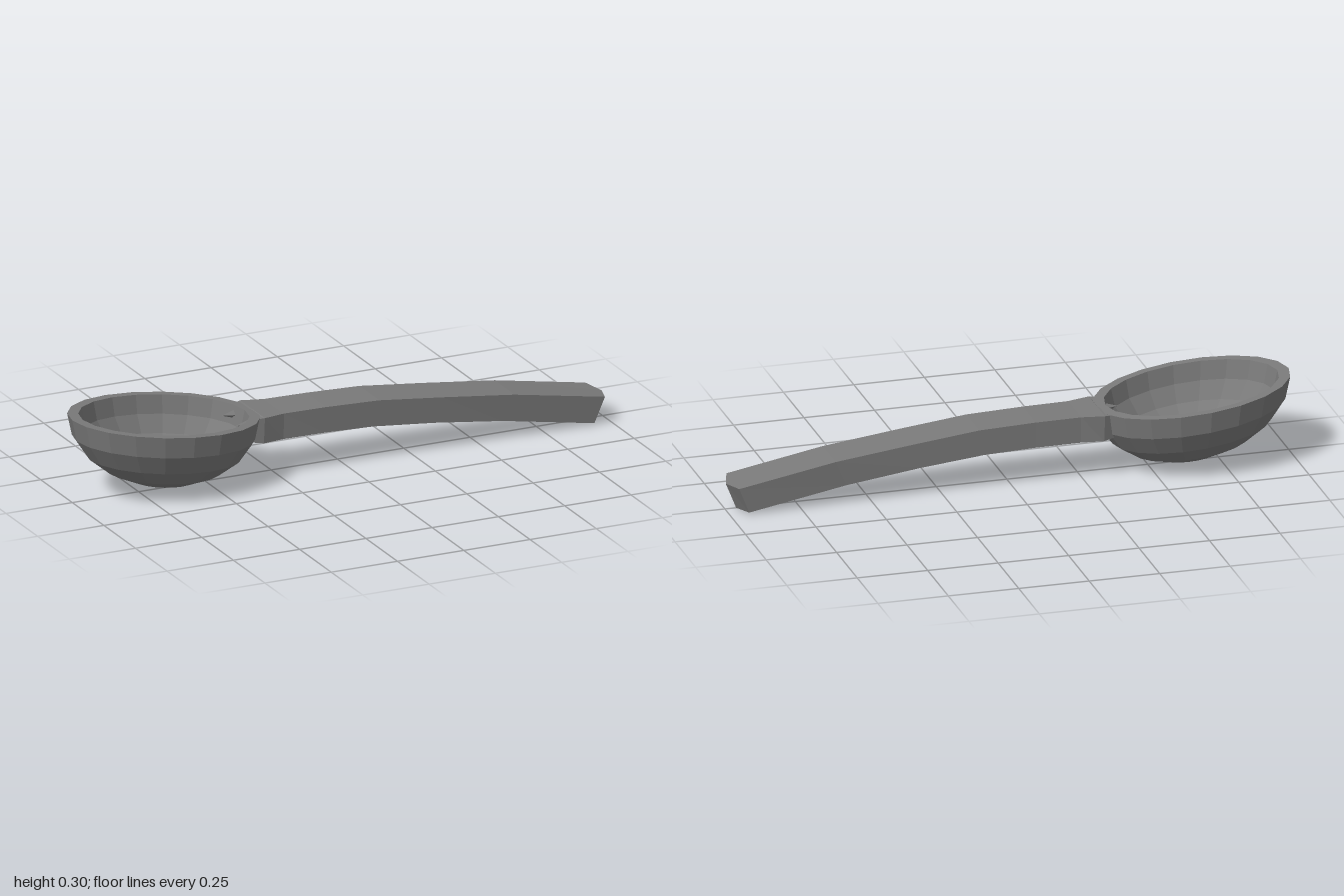
import * as THREE from 'three';

const wood = new THREE.MeshStandardMaterial({ color: 0x7a7a7a, flatShading: true });
wood.name = 'dull grey';

// Hollow oval bowl: one lathe for outside, rim and inside, then tilted along x
function makeBowl() {
  const steps = 5;
  const points = [];
  for (let i = 0; i <= steps; i++) {
    const a = (1 - i / steps) * Math.PI / 2;
    points.push(new THREE.Vector2(Math.max(0, Math.cos(a)), -0.25 * Math.sin(a)));
  }
  for (let i = 0; i <= steps; i++) {
    const a = (i / steps) * Math.PI / 2;
    points.push(new THREE.Vector2(0.885 * Math.max(0, Math.cos(a)), -0.215 * Math.sin(a)));
  }
  const geometry = new THREE.LatheGeometry(points, 20);
  const pos = geometry.attributes.position;
  for (let i = 0; i < pos.count; i++) {
    const x = pos.getX(i) * 0.345;
    pos.setXYZ(i, x - 0.655, 0.265 + pos.getY(i) - 0.1 * x, pos.getZ(i) * 0.25);
  }
  geometry.computeVertexNormals();
  const mesh = new THREE.Mesh(geometry, wood);
  mesh.name = 'bowl';
  return mesh;
}

// Curved handle swept through six-point sections
function makeHandle() {
  // top x, top y, bottom x, bottom y, half width top, half width bottom, forward shift of middle
  const sections = [
    [-0.365, 0.228, -0.36, 0.145, 0.085, 0.08, 0.03],
    [-0.32, 0.233, -0.32, 0.139, 0.098, 0.09, 0],
    [-0.24, 0.231, -0.24, 0.138, 0.08, 0.078, 0],
    [-0.08, 0.229, -0.08, 0.136, 0.079, 0.076, 0],
    [0.12, 0.222, 0.1, 0.129, 0.079, 0.075, 0],
    [0.36, 0.195, 0.33, 0.106, 0.079, 0.075, 0],
    [0.63, 0.162, 0.59, 0.071, 0.079, 0.073, 0],
    [0.972, 0.1, 0.935, 0.008, 0.078, 0.072, 0.025],
  ];
  const vertices = [];
  const index = [];
  for (const [tx, ty, bx, by, tw, bw, shift] of sections) {
    const drop = shift * 0.25;
    vertices.push(tx, ty, tw, tx + shift, ty - drop, 0, tx, ty, -tw);
    vertices.push(bx, by, -bw, bx + shift, by - drop, 0, bx, by, bw);
  }
  for (let s = 0; s < sections.length - 1; s++) {
    for (let k = 0; k < 6; k++) {
      const a = s * 6 + k;
      const b = s * 6 + (k + 1) % 6;
      index.push(a, a + 6, b, a + 6, b + 6, b);
    }
  }
  const e = (sections.length - 1) * 6;
  for (const [a, b, c] of [[0, 5, 4], [0, 4, 1], [1, 4, 3], [1, 3, 2]]) {
    index.push(a, c, b, e + a, e + b, e + c);
  }
  const geometry = new THREE.BufferGeometry();
  geometry.setAttribute('position', new THREE.Float32BufferAttribute(vertices, 3));
  geometry.setIndex(index);
  geometry.computeVertexNormals();
  const mesh = new THREE.Mesh(geometry, wood);
  mesh.name = 'handle';
  return mesh;
}

// Small splinters where the handle enters the bowl
function makeSplinter(side) {
  const mesh = new THREE.Mesh(new THREE.ConeGeometry(0.025, 0.08, 4), wood);
  mesh.name = 'splinter';
  mesh.rotation.z = Math.PI / 2;
  mesh.position.set(-0.37, 0.205, side * 0.055);
  return mesh;
}

export function createModel() {
  const group = new THREE.Group();
  group.name = 'spoon';
  group.add(makeBowl(), makeHandle());
  for (const side of [-1, 1]) group.add(makeSplinter(side));
  return group;
}
